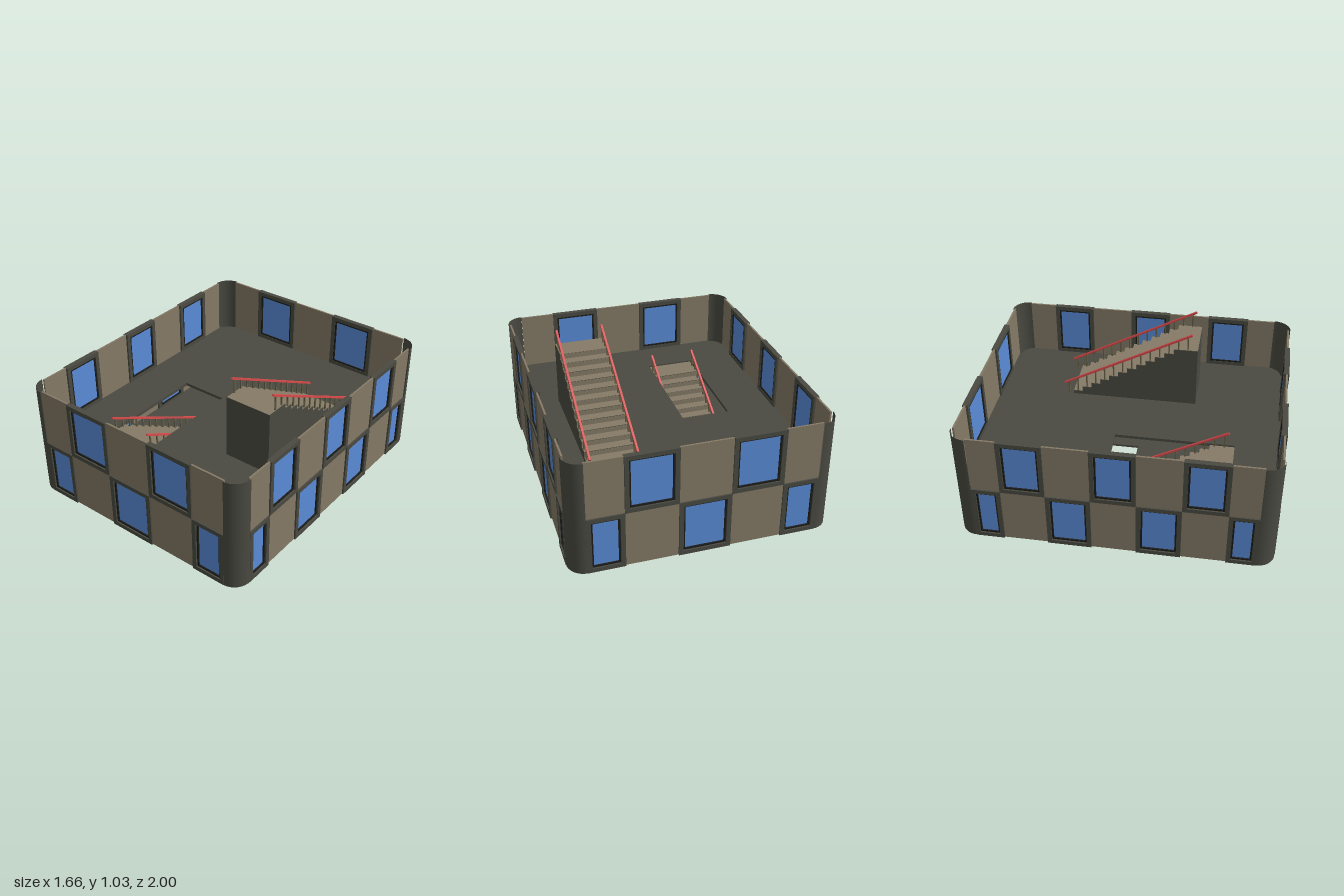
import * as THREE from 'three';

const mat = (color, side = THREE.FrontSide) => new THREE.MeshStandardMaterial({ color, side });
const dark = mat(0x4a4a42), darkSheet = mat(0x4a4a42, THREE.DoubleSide);
const black = mat(0x1c1c1a), beige = mat(0x857a66), glass = mat(0x5a8cd8);
const red = mat(0xd84a4a), olive = mat(0x6a6448);

const HX = 0.83, HZ = 1;                 // outer half sizes
const ROWS = [[0.09, 0.472], [0.472, 0.855]];

function add(parent, name, geo, material, x = 0, y = 0, z = 0) {
  const m = new THREE.Mesh(geo, material);
  m.name = name;
  m.position.set(x, y, z);
  parent.add(m);
  return m;
}
const box = (p, name, material, w, h, d, x, y, z) =>
  add(p, name, new THREE.BoxGeometry(w, h, d), material, x, y, z);

// Rectangular path centred on the origin
function rect(target, x0, x1, y0, y1) {
  target.moveTo(x0, y0);
  target.lineTo(x1, y0);
  target.lineTo(x1, y1);
  target.lineTo(x0, y1);
  target.closePath();
  return target;
}

// Extruded rectangular ring whose back lies on z = 0
function ring(w, h, t, depth) {
  const s = rect(new THREE.Shape(), -w / 2, w / 2, -h / 2, h / 2);
  s.holes.push(rect(new THREE.Path(), -w / 2 + t, w / 2 - t, -h / 2 + t, h / 2 - t));
  return new THREE.ExtrudeGeometry(s, { depth, bevelEnabled: false });
}

// Window cell: frame, inner black trim and glass
function windowCell(parent, x, y, w, h, dist) {
  const g = new THREE.Group();
  g.name = 'window';
  g.position.set(x, y, dist);
  add(g, 'windowFrame', ring(w, h, 0.028, 0.035), dark, 0, 0, -0.035);
  add(g, 'windowTrim', ring(w - 0.056, h - 0.056, 0.011, 0.022), black, 0, 0, -0.032);
  box(g, 'windowGlass', glass, w - 0.07, h - 0.07, 0.006, 0, 0, -0.022);
  parent.add(g);
}

// One wall: windows and plain panels alternate in a checker pattern
function wall(name, edges, dist, angle) {
  const g = new THREE.Group();
  g.name = name;
  ROWS.forEach(([y0, y1], row) => {
    for (let i = 0; i < edges.length - 1; i++) {
      const x = (edges[i] + edges[i + 1]) / 2, w = edges[i + 1] - edges[i];
      const y = (y0 + y1) / 2, h = y1 - y0;
      if (i % 2 === row) windowCell(g, x, y, w, h, dist);
      else box(g, 'wallPanel', beige, w, h, 0.012, x, y, dist - 0.016);
    }
  });
  g.rotation.y = angle;
  return g;
}

// Floor slab with rounded corners and one stair opening [x0, x1, z0, z1]
function floorSlab(parent, name, top, thick, hole) {
  const a = 0.805, b = 0.965, r = 0.1;
  const s = new THREE.Shape();
  s.absarc(a - r, b - r, r, 0, Math.PI / 2);
  s.absarc(-a + r, b - r, r, Math.PI / 2, Math.PI);
  s.absarc(-a + r, -b + r, r, Math.PI, Math.PI * 1.5);
  s.absarc(a - r, -b + r, r, Math.PI * 1.5, Math.PI * 2);
  s.holes.push(rect(new THREE.Path(), ...hole));
  const geo = new THREE.ExtrudeGeometry(s, { depth: thick, bevelEnabled: false, curveSegments: 8 });
  geo.rotateX(Math.PI / 2);
  add(parent, name, geo, dark, 0, top, 0);
}

// Staircase climbing toward +z, with a landing at the top
function staircase(name) {
  const g = new THREE.Group();
  g.name = name;
  const W = 0.322, N = 12, run = 0.0633, rise = 0.0368, first = 0.022, len = 0.92;
  const s = new THREE.Shape();
  s.moveTo(0, 0);
  for (let i = 0; i <= N; i++) {
    s.lineTo(i * run, first + i * rise);
    s.lineTo(i < N ? (i + 1) * run : len, first + i * rise);
  }
  s.lineTo(len, 0);
  s.closePath();
  const geo = new THREE.ExtrudeGeometry(s, { depth: W, bevelEnabled: false });
  geo.rotateY(-Math.PI / 2);
  add(g, 'stairBody', geo, dark, W / 2, 0, 0);
  for (let i = 0; i <= N; i++) {
    const y = first + i * rise, d = i < N ? run : len - N * run;
    box(g, 'tread', beige, W - 0.006, 0.004, d, 0, y, i * run + d / 2);
    if (i) box(g, 'riser', beige, W - 0.006, rise - 0.006, 0.004, 0, y - rise / 2, i * run);
  }
  // Handrails follow a straight slope and stand on one post per step
  const a = new THREE.Vector3(0, 0.115, 0), b = new THREE.Vector3(0, 0.58, 0.88);
  for (const side of [-1, 1]) {
    const x = side * 0.152;
    const rail = box(g, 'handrail', red, 0.014, 0.012, a.distanceTo(b), x, (a.y + b.y) / 2, 0.44);
    rail.rotation.x = -Math.atan2(b.y - a.y, b.z - a.z);
    for (let i = 0; i <= N + 1; i++) {
      const z = i * run + 0.03, base = first + Math.min(i, N) * rise;
      const top = a.y + (b.y - a.y) * z / 0.88;
      box(g, 'railPost', olive, 0.009, top - base, 0.009, x, (top + base) / 2, z);
    }
  }
  return g;
}

export function createModel() {
  const model = new THREE.Group();
  model.name = 'buildingStorey';

  // Four walls
  const ends = [-0.72, -0.49, -0.163, 0.163, 0.49, 0.72];
  const sides = [-0.885, -0.7, -0.42, -0.14, 0.14, 0.42, 0.7, 0.885];
  model.add(wall('frontWall', ends, HZ, 0), wall('backWall', ends, HZ, Math.PI));
  model.add(wall('leftWall', sides, HX, Math.PI / 2), wall('rightWall', sides, HX, -Math.PI / 2));

  // Rounded corners, one sheet per row
  for (const sx of [-1, 1]) for (const sz of [-1, 1]) for (const [y0, y1] of ROWS) {
    const geo = new THREE.CylinderGeometry(1, 1, y1 - y0, 12, 1, true, 0, Math.PI / 2);
    const c = add(model, 'cornerWall', geo, darkSheet, sx * 0.72, (y0 + y1) / 2, sz * 0.885);
    c.scale.set(sx * 0.108, 1, sz * 0.113);
  }

  // Floors with openings for the stairs
  floorSlab(model, 'lowerFloor', 0.105, 0.015, [-0.48, 0.2, -0.6, 0]);
  floorSlab(model, 'upperFloor', 0.475, 0.02, [-0.478, -0.156, -0.1, 0.69]);

  // Two identical staircases
  const lower = staircase('lowerStairs');
  lower.position.set(-0.317, 0, -0.23);
  const upper = staircase('upperStairs');
  upper.position.set(0.43, 0.44, -0.53);
  model.add(lower, upper);
  return model;
}
